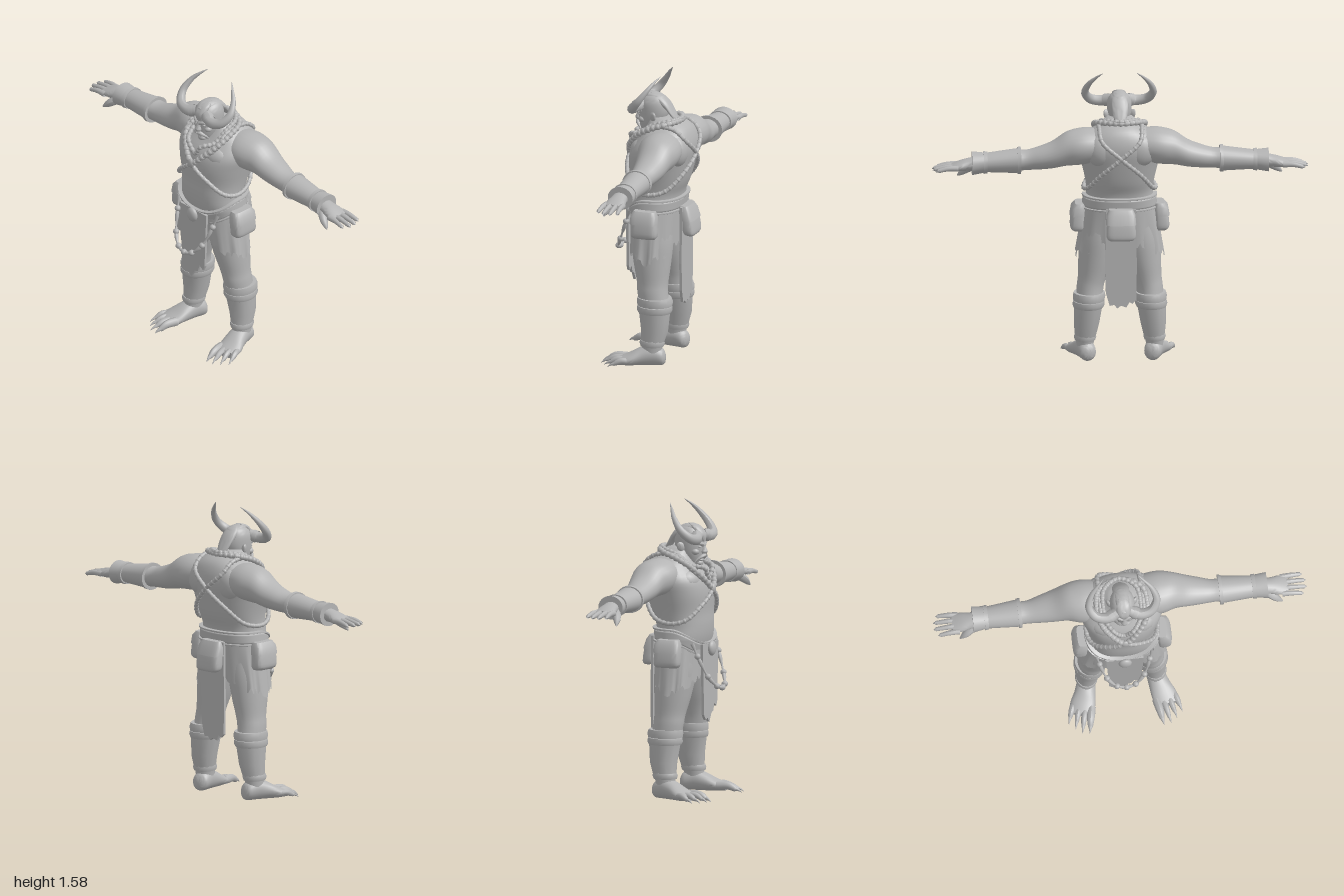
import * as THREE from 'three';
import { toCreasedNormals } from 'three/addons/utils/BufferGeometryUtils.js';

const V = (x, y, z) => new THREE.Vector3(x, y, z);
const spow = (v, p) => Math.sign(v) * Math.abs(v) ** p;

// Closed body through elliptical rings [x, y, z, a, b] stacked along an axis
function loft(axis, rings, { steps = 4, n = 24, p = 1 } = {}) {
  const rows = [];
  for (let i = 0; i < rings.length - 1; i++) {
    for (let k = 0; k < steps; k++) {
      const t = k / steps, at = j => rings[Math.min(Math.max(j, 0), rings.length - 1)];
      rows.push(rings[i].map((_, c) => {
        const [a, b, d, e] = [i - 1, i, i + 1, i + 2].map(j => at(j)[c]);
        return 0.5 * (2 * b + (d - a) * t + (2 * a - 5 * b + 4 * d - e) * t * t + (3 * b - a - 3 * d + e) * t ** 3);
      }));
    }
  }
  rows.push(rings[rings.length - 1]);
  const pos = [], idx = [];
  for (const [x, y, z, a, b] of rows) {
    for (let j = 0; j < n; j++) {
      const t = j / n * Math.PI * 2, c = a * spow(Math.cos(t), p), s = b * spow(Math.sin(t), p);
      if (axis === 'y') pos.push(x + c, y, z + s);
      else if (axis === 'x') pos.push(x, y + c, z + s);
      else pos.push(x + c, y + s, z);
    }
  }
  const m = rows.length;
  for (let i = 0; i < m - 1; i++) {
    for (let j = 0; j < n; j++) {
      const a = i * n + j, b = i * n + (j + 1) % n;
      idx.push(a, a + n, b, b, a + n, b + n);
    }
  }
  for (const e of [0, m - 1]) {
    const c = pos.length / 3;
    pos.push(...rows[e].slice(0, 3));
    for (let j = 0; j < n; j++) {
      const a = e * n + j, b = e * n + (j + 1) % n;
      idx.push(...(e ? [c, b, a] : [c, a, b]));
    }
  }
  // Turn the faces outward if the enclosed volume is negative
  let vol = 0;
  const at = i => V(pos[i * 3], pos[i * 3 + 1], pos[i * 3 + 2]);
  for (let i = 0; i < idx.length; i += 3) vol += at(idx[i]).dot(at(idx[i + 1]).cross(at(idx[i + 2])));
  if (vol < 0) idx.reverse();
  const g = new THREE.BufferGeometry();
  g.setAttribute('position', new THREE.Float32BufferAttribute(pos, 3));
  g.setIndex(idx);
  return toCreasedNormals(g, 0.75);
}

// Tube whose radius follows a function of its length
function taper(points, radius, seg = 20, closed = false) {
  const curve = new THREE.CatmullRomCurve3(points.map(q => V(...q)), closed);
  const g = new THREE.TubeGeometry(curve, seg, 1, 10, closed), P = g.attributes.position, v = V();
  for (let i = 0; i < P.count; i++) {
    const t = Math.floor(i / 11) / seg, c = curve.getPointAt(t);
    v.fromBufferAttribute(P, i).sub(c).multiplyScalar(radius(t)).add(c);
    P.setXYZ(i, v.x, v.y, v.z);
  }
  g.computeVertexNormals();
  return g;
}

// Open cloth: a grid bent by a rule
function sheet(fn, nu, nv) {
  const g = new THREE.PlaneGeometry(1, 1, nu, nv), P = g.attributes.position, uv = g.attributes.uv;
  for (let i = 0; i < P.count; i++) P.setXYZ(i, ...fn(uv.getX(i), uv.getY(i)));
  g.computeVertexNormals();
  return g;
}

const torso = [[0, .78, -.015, .185, .12], [0, .86, -.008, .186, .135], [0, .93, -.008, .178, .142], [0, 1.0, -.022, .185, .155],
  [0, 1.1, -.032, .207, .17], [0, 1.18, -.048, .222, .168], [0, 1.25, -.068, .19, .135], [0, 1.3, -.065, .12, .105], [0, 1.34, -.03, .065, .065]];

// Point on the trunk at height y, angle t (0 = front, positive = its left)
function skin(y, t, off = 0.008) {
  const i = Math.max(0, torso.findIndex((r, k) => k === torso.length - 2 || torso[k + 1][1] >= y));
  const a = torso[i], b = torso[i + 1], f = (y - a[1]) / (b[1] - a[1]);
  const [, , z, rx, rz] = a.map((v, k) => v + (b[k] - v) * f);
  return [(rx + off) * spow(Math.sin(t), .88), y, z + (rz + off) * spow(Math.cos(t), .88)];
}

export function createModel() {
  const model = new THREE.Group();
  const clay = new THREE.MeshStandardMaterial({ name: 'clay grey', color: 0xb4b4b4, side: THREE.DoubleSide });
  const add = (name, geo, pos = [0, 0, 0], parent = model) => {
    const m = new THREE.Mesh(geo, clay);
    m.name = name;
    m.position.set(...pos);
    parent.add(m);
    return m;
  };
  const ball = (name, pos, size, parent) => {
    const m = add(name, new THREE.SphereGeometry(1, 16, 12), pos, parent);
    m.scale.set(...size);
    return m;
  };
  const beads = (name, points, count, r, closed) => {
    const c = new THREE.CatmullRomCurve3(points.map(q => V(...q)), closed);
    for (let i = 0; i < count; i++) {
      const q = c.getPointAt(i / (closed ? count : count - 1));
      add(name, new THREE.IcosahedronGeometry(r, 1), [q.x, q.y, q.z]);
    }
  };

  // Trunk and head
  add('torso', loft('y', torso, { n: 40, p: .88 }));
  add('head', loft('y', [[0, 1.2, -.03, .08, .085], [0, 1.24, .02, .045, .05], [0, 1.27, .03, .048, .06], [0, 1.31, .024, .06, .073],
    [0, 1.36, .018, .066, .083], [0, 1.41, .018, .064, .078], [0, 1.445, .012, .045, .055], [0, 1.46, .01, .012, .015]]));
  add('nose', loft('y', [[0, 1.302, .1, .012, .01], [0, 1.316, .104, .019, .018], [0, 1.335, .1, .012, .015], [0, 1.365, .092, .009, .01]], { n: 14 }));
  ball('lowerLip', [0, 1.272, .088], [.02, .007, .01]);
  ball('chin', [0, 1.255, .075], [.026, .018, .02]);
  add('crest', loft('z', [[0, 1.31, -.125, .012, .01], [0, 1.345, -.1, .034, .022], [0, 1.4, -.06, .045, .028],
    [0, 1.435, -.01, .042, .026], [0, 1.445, .05, .034, .018], [0, 1.425, .095, .014, .014]]));
  add('forelock', loft('y', [[0, 1.37, .1, .012, .008], [0, 1.41, .088, .035, .022], [0, 1.45, .055, .036, .025], [0, 1.465, .03, .02, .012]]));

  for (const s of [1, -1]) {
    // Horns and face
    add('horn', taper([[s * .035, 1.405, .075], [s * .09, 1.392, .096], [s * .15, 1.405, .085], [s * .181, 1.45, .045],
      [s * .162, 1.51, 0], [s * .125, 1.552, -.03], [s * .093, 1.58, -.055]], t => .0015 + .029 * (1 - t ** 1.6), 36));
    add('hornRing', taper([[s * .052, 1.4, .082], [s * .075, 1.394, .092]], () => .034, 4));
    add('brow', taper([[s * .005, 1.352, .1], [s * .03, 1.362, .094], [s * .058, 1.364, .062]], t => .011 - .005 * t, 10));
    ball('eye', [s * .027, 1.343, .088], [.011, .006, .008]);
    ball('cheek', [s * .038, 1.318, .067], [.022, .018, .022]);
    add('moustache', taper([[0, 1.298, .106], [s * .024, 1.292, .1], [s * .046, 1.272, .078], [s * .052, 1.258, .07]],
      t => .002 + .011 * (1 - t), 12));
    add('ear', loft('x', [[s * .055, 1.34, .005, .024, .016], [s * .076, 1.345, -.006, .026, .015], [s * .086, 1.352, -.014, .008, .004]], { n: 12 }));
    // Chest and back muscles
    ball('pectoral', [s * .092, 1.165, .04], [.095, .07, .073]).rotation.y = s * .35;
    ball('shoulderBlade', [s * .1, 1.18, -.15], [.085, .09, .06]);

    // Arm, bracer and wrist band
    add('arm', loft('x', [[s * .09, 1.2, -.085, .08, .1], [s * .17, 1.195, -.085, .096, .117], [s * .23, 1.19, -.09, .097, .114],
      [s * .29, 1.18, -.095, .09, .098], [s * .36, 1.15, -.095, .073, .086], [s * .43, 1.132, -.092, .062, .074],
      [s * .5, 1.12, -.088, .054, .062], [s * .58, 1.117, -.09, .056, .064], [s * .72, 1.108, -.088, .042, .05],
      [s * .8, 1.1, -.085, .034, .045], [s * .85, 1.092, -.085, .028, .054], [s * .9, 1.084, -.085, .016, .052]]));
    const cuff = (name, x0, x1, r0, r1) => add(name, loft('x', [[s * x0, 1.117 - (x0 - .54) * .05, -.09, r0, r0 + .008],
      [s * x1, 1.117 - (x1 - .54) * .05, -.088, r1, r1 + .008]], { steps: 1 }));
    cuff('bracer', .535, .73, .067, .05);
    cuff('bracerRim', .53, .548, .073, .072);
    cuff('bracerRim', .708, .728, .058, .06);
    cuff('wristBand', .728, .79, .054, .063);
    // Fingers with nails, thumb
    for (let i = 0; i < 4; i++) {
      const z = -.13 + i * .031, e = [.972, .988, .99, .97][i], zt = -.139 + i * .036;
      add('finger', taper([[s * .865, 1.087, z], [s * .92, 1.087, (z + zt) / 2], [s * e, 1.076, zt]], t => .0165 - .006 * t, 10));
      add('fingernail', taper([[s * (e - .008), 1.078, zt], [s * (e + .012), 1.072, zt]], t => .001 + .01 * (1 - t), 5));
    }
    add('thumb', taper([[s * .785, 1.085, -.06], [s * .825, 1.055, -.035], [s * .865, 1.02, -.02]], t => .003 + .021 * (1 - t ** 3), 12));

    // Leg with greave, cuffs and ankle band
    add('leg', loft('y', [[s * .1, .82, -.01, .085, .11], [s * .112, .68, -.015, .1, .115], [s * .128, .56, -.022, .092, .102],
      [s * .146, .46, -.03, .077, .086], [s * .158, .4, -.035, .072, .083], [s * .166, .3, -.05, .068, .08],
      [s * .178, .18, -.05, .055, .065], [s * .185, .1, -.04, .047, .056], [s * .185, .04, -.04, .045, .055]]));
    const band = (name, rings, n = 24) => add(name, loft('y', rings, { steps: 1, n }));
    band('greave', [[s * .185, .11, -.042, .052, .06], [s * .178, .2, -.054, .067, .075], [s * .168, .31, -.05, .077, .088]], 12);
    band('kneeCuff', [[s * .165, .333, -.05, .083, .095], [s * .164, .354, -.05, .087, .098], [s * .163, .375, -.048, .083, .092]]);
    band('shinCuff', [[s * .168, .295, -.05, .08, .09], [s * .167, .31, -.05, .086, .097], [s * .166, .33, -.05, .083, .094]]);
    band('ankleBand', [[s * .185, .112, -.042, .055, .064], [s * .185, .128, -.042, .06, .069], [s * .184, .143, -.043, .056, .065]]);

    // Foot turned outward, with clawed toes
    const foot = new THREE.Group();
    foot.name = 'foot';
    foot.position.set(s * .185, 0, -.04);
    foot.rotation.y = s * .25;
    model.add(foot);
    add('sole', loft('z', [[0, .045, -.073, .02, .025], [0, .052, -.055, .044, .046], [0, .062, 0, .05, .058], [0, .052, .06, .057, .049],
      [s * .004, .036, .12, .067, .033], [s * .004, .026, .175, .06, .02]]), [0, 0, 0], foot);
    for (let i = 0; i < 4; i++) {
      const x = s * (-.045 + i * .033), l = [.235, .24, .222, .2][i], r = i ? .017 : .023;
      add('toe', taper([[x, .035, .13], [x * 1.08, .036, l - .04], [x * 1.15, .018, l]], t => r * (1 - .45 * t ** 3), 10), [0, 0, 0], foot);
      add('claw', taper([[x * 1.15, .024, l - .012], [x * 1.17, .016, l + .014], [x * 1.18, .004, l + .032]], t => .001 + r * .6 * (1 - t), 6), [0, 0, 0], foot);
    }

    // Shoulder harness: over one shoulder, under the other arm
    const loop = [[1.295, .95], [1.23, .5], [1.12, 0], [1.03, -.52], [.965, -1.05], [.945, -1.55], [.965, -2.1], [1.05, -2.65],
      [1.15, -Math.PI], [1.24, -3.6], [1.3, -4.15]].map(([y, t]) => skin(y, s * t, y > 1.08 && Math.abs(t) < .6 ? .018 : .012));
    add('harness', taper(loop, () => .011, 90, true));
    beads('harnessBead', loop, 44, .0135, true);

    // Side pouch with flap
    add('pouch', loft('y', [[s * .222, .715, -.012, .026, .06], [s * .226, .735, -.012, .038, .072], [s * .222, .8, -.01, .036, .07],
      [s * .212, .855, -.01, .028, .06]], { p: .5 }));
    add('pouchFlap', loft('y', [[s * .225, .795, -.01, .041, .075], [s * .22, .84, -.01, .038, .072], [s * .212, .863, -.01, .026, .06]], { p: .5, steps: 1 }));
  }

  // Necklaces
  for (const [w, low, up, r] of [[.135, 1.125, 1.305, .013], [.1, 1.175, 1.315, .011]]) {
    const pts = [[0, low, .152 - (low - 1.125) * .5], [w * .5, low + .06, .128], [w * .9, 1.25, .07], [w, up - .01, -.01], [w * .85, up + .015, -.09],
      [0, up + .02, -.14]];
    const ring = [...pts, ...pts.slice(1, 5).reverse().map(([x, y, z]) => [-x, y, z])];
    add('necklace', taper(ring, () => r, 70, true));
    beads('necklaceBead', ring, 36, r * 1.3, true);
  }
  ball('pendant', [0, 1.122, .155], [.024, .026, .014]);

  // Belt dipping at the front
  const dip = t => .08 * Math.max(0, Math.cos(t)) ** 1.6;
  for (const [name, lo, hi, off] of [['belt', .842, .912, .014], ['beltRim', .902, .916, .02], ['beltRim', .838, .85, .02]]) {
    add(name, sheet((u, v) => {
      const t = u * Math.PI * 2, edge = v < .1 || v > .9 ? 0 : off;
      return skin(lo + (hi - lo) * v - dip(t), t, edge);
    }, 64, 12));
  }
  ball('buckle', [0, .8, .148], [.036, .04, .02]);

  // Ragged hip skirt
  add('skirt', sheet((u, v) => {
    const t = u * Math.PI * 2, side = Math.abs(Math.sin(t));
    const tooth = [0, .035, .012, .05, .02, .042, .008][Math.floor(u * 56) % 7];
    const hem = .635 - .075 * side ** 2 + tooth * .8, d = 1 - v, y = .87 - dip(t) * .6 + (hem - .87 + dip(t) * .6) * d;
    const fold = 1 + .025 * d * Math.sin(t * 11);
    return [(.192 + .044 * d) * fold * spow(Math.sin(t), .88), y, -.012 + (.138 - .01 * d) * fold * spow(Math.cos(t), .88)];
  }, 112, 10));

  // Torn cloth panels
  const panel = (name, pts, z) => add(name, new THREE.ExtrudeGeometry(new THREE.Shape(pts.map(q => new THREE.Vector2(...q))),
    { depth: .014, bevelEnabled: false }), [0, 0, z]);
  panel('frontPanel', [[-.1, .83], [-.09, .6], [-.085, .45], [-.06, .42], [-.04, .43], [-.015, .405], [.01, .45], [.035, .46],
    [.05, .5], [.075, .48], [.088, .51], [.09, .6], [.1, .83]], .126);
  panel('backPanel', [[-.08, .86], [-.085, .55], [-.082, .36], [-.06, .34], [-.045, .35], [-.03, .32], [0, .33], [.02, .315],
    [.035, .335], [.06, .33], [.08, .4], [.085, .55], [.08, .86]], -.172);

  // Back pouch
  add('backPouch', loft('y', [[0, .7, -.205, .06, .02], [0, .72, -.2, .078, .032], [0, .79, -.188, .075, .034], [0, .855, -.172, .064, .026]], { p: .5 }));
  add('backPouchFlap', loft('y', [[0, .785, -.19, .081, .039], [0, .835, -.178, .077, .035], [0, .862, -.17, .064, .026]], { p: .5, steps: 1 }));

  // Bone garland hanging before the hips
  const half = [[.15, .84, .1], [.135, .77, .125], [.1, .66, .17], [.05, .605, .2]];
  const garland = [...half, [0, .592, .208], ...half.map(([x, y, z]) => [-x, y, z]).reverse()];
  add('garland', taper(garland, t => .008 + .003 * Math.cos(t * Math.PI * 12), 60));
  for (const [x, y, z] of garland.slice(1, -1)) add('boneKnob', new THREE.IcosahedronGeometry(.017, 1), [x, y, z]);
  return model;
}
